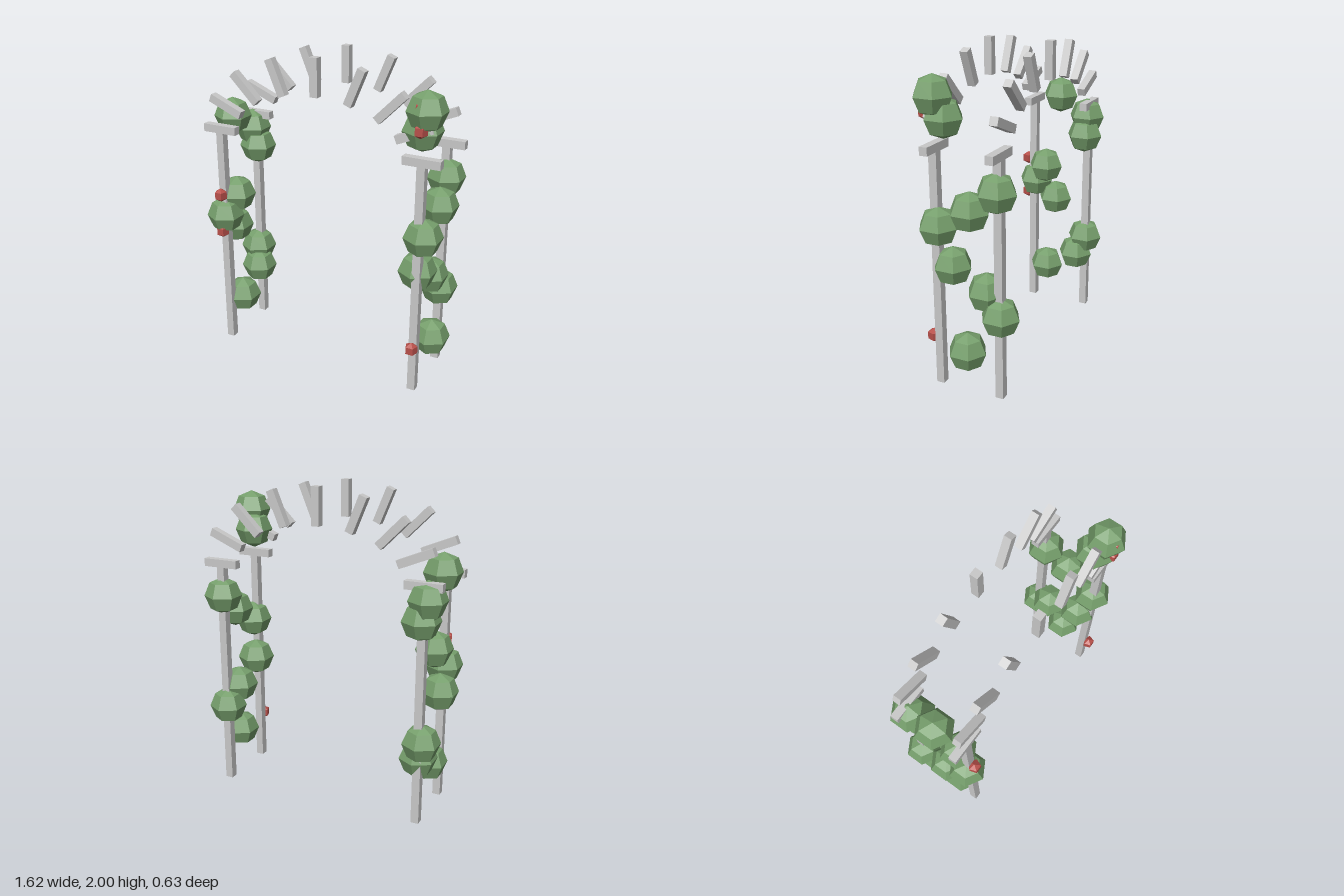
import * as THREE from 'three';

export function createModel() {
  const model = new THREE.Group();
  model.name = 'gardenArch';

  const make = (name, hex) => {
    const m = new THREE.MeshStandardMaterial({ color: hex });
    m.name = name;
    m.flatShading = true;
    return m;
  };
  const frameGrey = make('frameGrey', 0xc8c8c8);
  const leafGreen = make('leafGreen', 0x769f6c);
  const flowerRed = make('flowerRed', 0xb8504a);

  const add = (name, geometry, material, x, y, z) => {
    const mesh = new THREE.Mesh(geometry, material);
    mesh.name = name;
    mesh.position.set(x, y, z);
    model.add(mesh);
    return mesh;
  };

  const HALF_SPAN = 0.672, SPRING = 1.485, RISE = 0.4, DEPTH = 0.2, BAR = 0.05;

  // Four posts and two rows of radial slats forming the arch
  const postGeo = new THREE.BoxGeometry(BAR, SPRING, BAR);
  const slatGeo = new THREE.BoxGeometry(BAR, 0.23, BAR);
  for (const z of [-DEPTH, DEPTH]) {
    for (const side of [-1, 1]) add('post', postGeo, frameGrey, side * HALF_SPAN, SPRING / 2, z);
    for (let i = -4; i <= 4; i++) {
      const a = (i * Math.PI) / 8;
      const slat = add('archSlat', slatGeo, frameGrey,
        HALF_SPAN * Math.sin(a), SPRING + RISE * Math.cos(a), z);
      slat.rotation.z = -a;
    }
  }

  // Leaf clumps winding up each pair of posts: [step, x, z]
  const leafGeo = new THREE.SphereGeometry(0.12, 6, 4).rotateY(Math.PI / 2);
  const leftClumps = [
    [0, 0.705, 0], [2, 0.67, -0.2], [3, 0.64, -0.1], [4, 0.642, 0.12], [6, 0.69, 0.18],
    [7, 0.702, -0.03], [8, 0.68, -0.19], [11, 0.648, 0.15], [12, 0.683, 0.19],
  ];
  const rightClumps = [
    [0, -0.645, 0.085], [1, -0.65, -0.135], [2, -0.685, -0.19], [4, -0.706, 0.05],
    [5, -0.682, 0.19], [6, -0.645, 0.1], [8, -0.655, -0.18], [9, -0.69, -0.18], [10, -0.706, 0.02],
  ];
  for (const [step, x, z] of [...leftClumps, ...rightClumps]) {
    add('leafClump', leafGeo, leafGreen, x, 0.273 + step * 0.125, z);
  }

  // Small flower buds on the front posts
  const budGeo = new THREE.SphereGeometry(0.045, 5, 3).rotateY(-Math.PI / 2);
  const buds = [[1, 0.305], [1, 1.675], [1, 1.8], [-1, 0.805], [-1, 1.055]];
  for (const [side, y] of buds) add('flowerBud', budGeo, flowerRed, side * HALF_SPAN, y, 0.246);

  return model;
}
